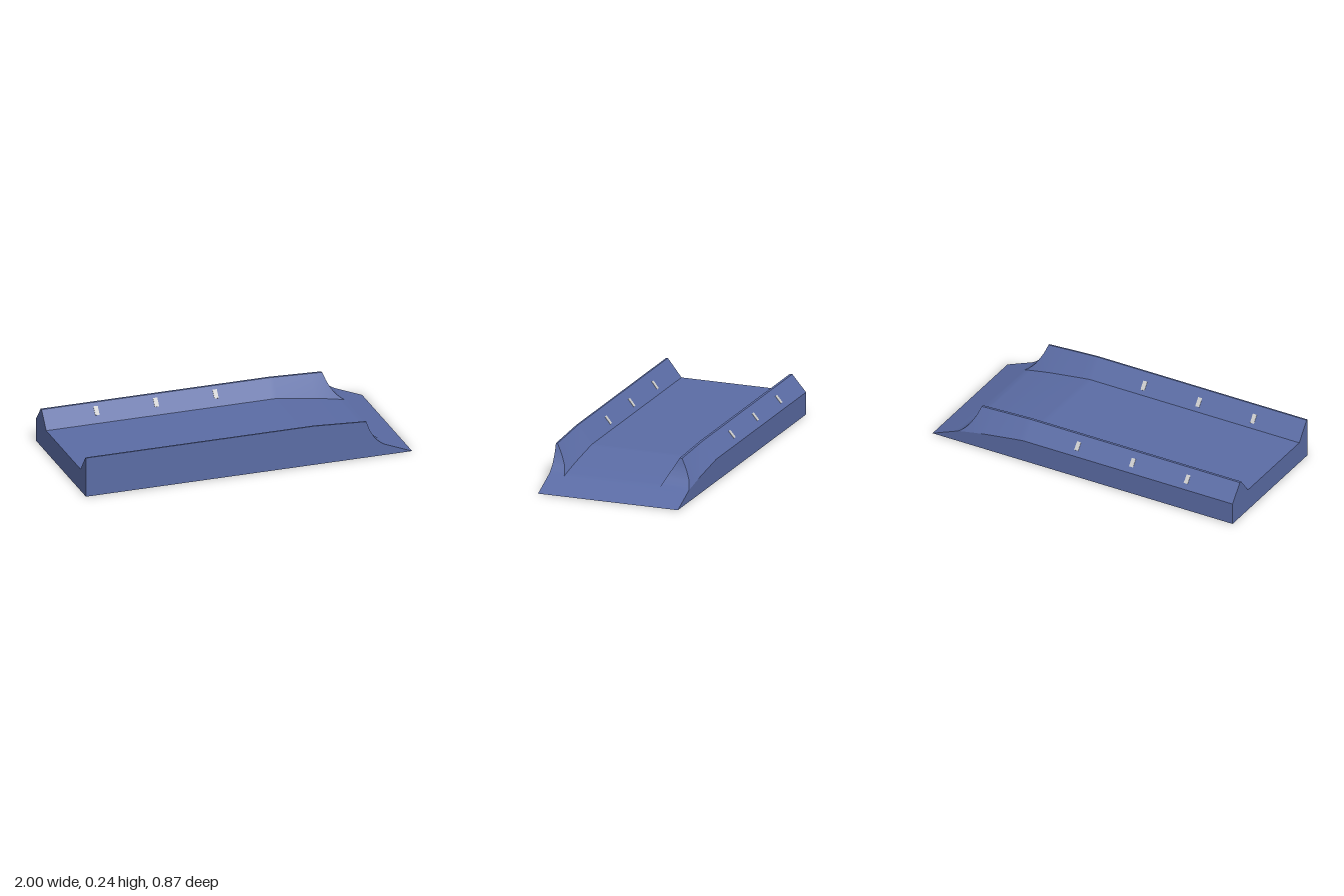
import * as THREE from 'three';
import { toCreasedNormals } from 'three/addons/utils/BufferGeometryUtils.js';

const blue = new THREE.MeshStandardMaterial({ color: 0x5b6ca5 });
const grey = new THREE.MeshStandardMaterial({ color: 0xcccccc });
const lerp = THREE.MathUtils.lerp;

// Heights along the length, as [x, y] polylines
const FLOOR = [[-1, 0.135], [0.4, 0.135], [0.65, 0.101], [0.72, 0.089], [0.83, 0.068], [1, 0]];
const RIDGE_A = [[-1, 0.243], [0.4, 0.243], [0.72, 0.225], [1, 0.21]];
const RIDGE_B = [[-1, 0.235], [0.4, 0.235], [0.72, 0.223], [1, 0.21]];
const CUT = [[-1, 1], [0.7199, 1], [0.72, 0.225], [0.735, 0.18], [0.75, 0.15], [0.77, 0.118],
  [0.79, 0.097], [0.81, 0.08], [0.83, 0.068], [1, 0]];
const STATIONS = [-1, 0.38, 0.4, 0.42, 0.65, 0.72, 0.728, 0.735, 0.743, 0.75, 0.76, 0.77, 0.78, 0.79, 0.81, 0.83, 0.86, 1];

function heightAt(line, x) {
  let i = 1;
  while (i < line.length - 1 && x > line[i][0]) i++;
  const [x0, y0] = line[i - 1], [x1, y1] = line[i];
  return lerp(y0, y1, (x - x0) / (x1 - x0));
}

// Top outline of one cross-section, from +z to -z, with the ridges trimmed by the cut
function section(x) {
  const f = heightAt(FLOOR, x), c = heightAt(CUT, x);
  const trim = (r) => THREE.MathUtils.clamp((c - f) / (r - f), 0, 1);
  const ra = heightAt(RIDGE_A, x), rb = heightAt(RIDGE_B, x);
  const a = trim(ra), b = trim(rb);
  const ya = lerp(f, ra, a), yb = lerp(f, rb, b);
  return [
    [0.435, ya], [lerp(0.34, 0.425, a), ya], [0.34, f], [-0.255, f],
    [lerp(-0.255, -0.335, b), yb], [lerp(-0.435, -0.35, b), yb], [-0.435, f],
  ].map(([z, y]) => new THREE.Vector3(x, y, z));
}

function rampGeometry() {
  const pos = [];
  const tri = (a, b, c) => {
    const n = b.clone().sub(a).cross(c.clone().sub(a));
    if (n.length() > 1e-9) pos.push(...a.toArray(), ...b.toArray(), ...c.toArray());
  };
  const quad = (a, b, c, d) => { tri(a, b, c); tri(a, c, d); };
  const foot = (p) => new THREE.Vector3(p.x, 0, p.z);
  const rows = STATIONS.map(section);
  const last = rows[0].length - 1;
  for (let s = 0; s < rows.length - 1; s++) {
    const p = rows[s], q = rows[s + 1];
    for (let i = 0; i < last; i++) quad(p[i], q[i], q[i + 1], p[i + 1]);
    // outer walls and underside
    quad(foot(p[0]), foot(q[0]), q[0], p[0]);
    quad(foot(q[last]), foot(p[last]), p[last], q[last]);
    quad(foot(p[last]), foot(q[last]), foot(q[0]), foot(p[0]));
  }
  // square end
  const e = rows[0];
  for (let i = 0; i < last; i++) quad(e[i], e[i + 1], foot(e[i + 1]), foot(e[i]));
  const g = new THREE.BufferGeometry();
  g.setAttribute('position', new THREE.Float32BufferAttribute(pos, 3));
  return toCreasedNormals(g, 0.4);
}

export function createModel() {
  const group = new THREE.Group();
  const add = (name, geometry, material) => {
    const m = new THREE.Mesh(geometry, material);
    m.name = name;
    group.add(m);
    return m;
  };

  add('rampBody', rampGeometry(), blue);

  // Slopes carrying inserts: [z, y] of the low edge, the high edge, and the insert's z
  const slopes = [
    [[0.34, 0.135], [0.425, 0.243], 0.375],
    [[-0.255, 0.135], [-0.335, 0.235], -0.303],
    [[-0.435, 0.135], [-0.35, 0.235], -0.395],
  ];
  for (const x of [-0.675, -0.31, 0.055]) {
    for (const [[z0, y0], [z1, y1], z] of slopes) {
      const k = (y1 - y0) / (z1 - z0);
      const insert = add('slotInsert', new THREE.BoxGeometry(0.026, 0.004, 0.034 * Math.hypot(1, k)), grey);
      insert.position.set(x, y0 + k * (z - z0), z);
      insert.rotation.x = -Math.atan(k);
    }
    // narrow strip under the body
    add('undersideStrip', new THREE.BoxGeometry(0.008, 0.002, 0.535), blue).position.set(x, 0.0005, 0.0375);
  }
  return group;
}
